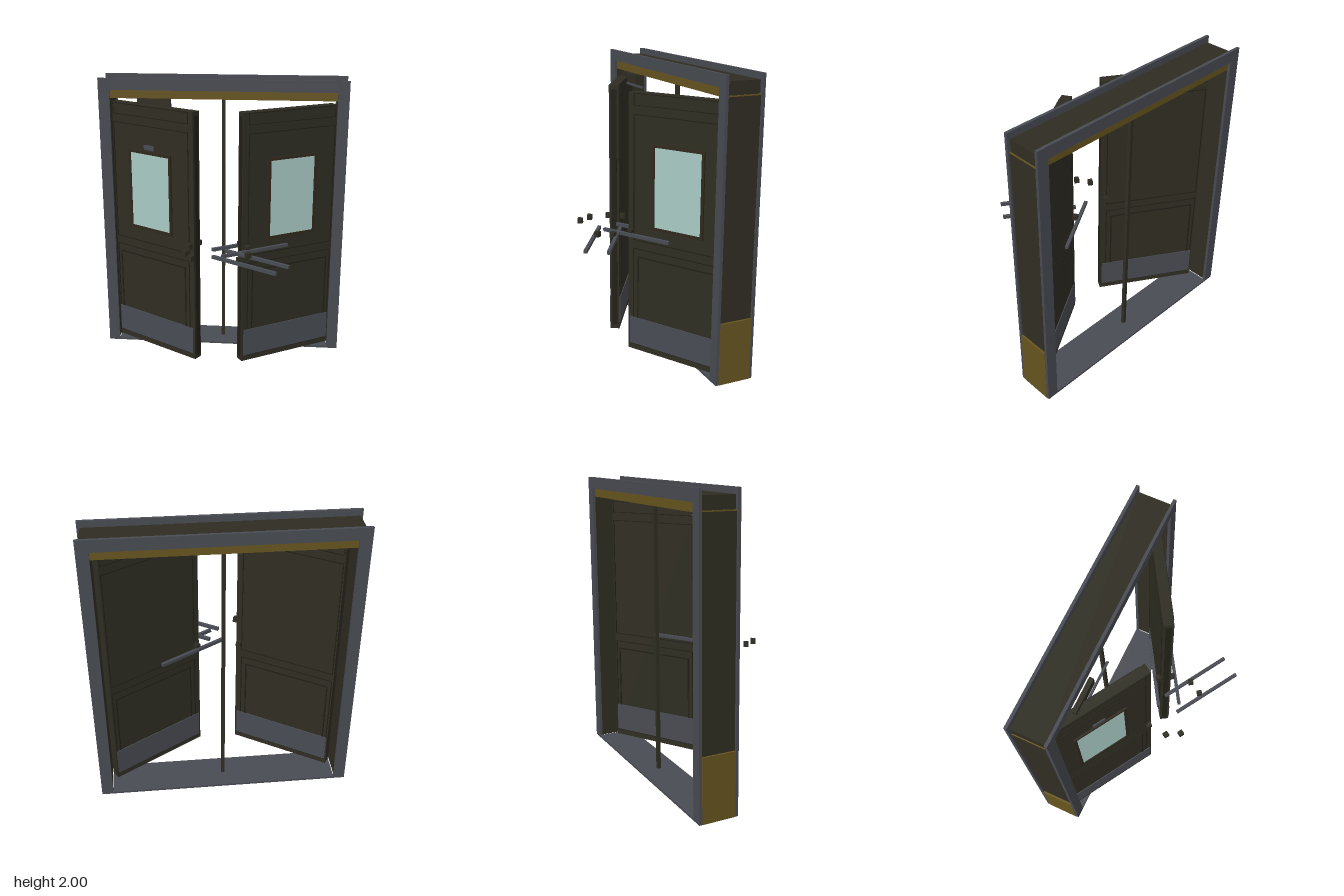
import * as THREE from 'three';

const mat = (name, color) => {
  const m = new THREE.MeshStandardMaterial({ color });
  m.name = name;
  return m;
};

export function createModel() {
  const dark = mat('darkBronze', 0x2f2d22);
  const moulding = mat('mouldingShadow', 0x211f17);
  const steel = mat('blueGreySteel', 0x484b52);
  const gold = mat('agedBrass', 0x66541f);
  const glass = mat('paleGlass', 0xa9cac4);
  const wood = mat('windowTrim', 0x30281c);

  const model = new THREE.Group();
  model.name = 'doubleDoor';

  // Box given by its limits on each axis
  const box = (parent, name, m, x0, x1, y0, y1, z0, z1) => {
    const mesh = new THREE.Mesh(
      new THREE.BoxGeometry(Math.abs(x1 - x0), y1 - y0, Math.abs(z1 - z0)), m);
    mesh.position.set((x0 + x1) / 2, (y0 + y1) / 2, (z0 + z1) / 2);
    mesh.name = name;
    parent.add(mesh);
    return mesh;
  };

  // Flat rectangular ring, extruded along z
  const ring = (parent, name, m, x0, x1, y0, y1, w, z0, depth) => {
    const rect = (P, a, b, c, d) => {
      const p = new P();
      p.moveTo(a, c); p.lineTo(b, c); p.lineTo(b, d); p.lineTo(a, d); p.closePath();
      return p;
    };
    const [a, b] = [Math.min(x0, x1), Math.max(x0, x1)];
    const shape = rect(THREE.Shape, a, b, y0, y1);
    shape.holes.push(rect(THREE.Path, a + w, b - w, y0 + w, y1 - w));
    const mesh = new THREE.Mesh(
      new THREE.ExtrudeGeometry(shape, { depth, bevelEnabled: false }), m);
    mesh.position.z = z0;
    mesh.name = name;
    parent.add(mesh);
  };

  // Casing: front and back trim around jambs and header
  const frame = new THREE.Group();
  frame.name = 'frame';
  model.add(frame);
  for (const [z0, z1] of [[-0.25, -0.23], [-0.5, -0.48]]) {
    for (const s of [-1, 1]) box(frame, 'sideTrim', steel, s * 0.79, s * 0.868, 0, 2, z0, z1);
    box(frame, 'topTrim', steel, -0.79, 0.79, 1.92, 2, z0, z1);
  }
  for (const s of [-1, 1]) {
    box(frame, 'jamb', dark, s * 0.795, s * 0.855, 0.015, 1.87, -0.48, -0.25);
    box(frame, 'jambBasePlate', gold, s * 0.855, s * 0.87, 0, 0.43, -0.48, -0.25);
    box(frame, 'headerEndLine', gold, s * 0.845, s * 0.856, 1.868, 1.876, -0.478, -0.252);
  }
  box(frame, 'header', dark, -0.85, 0.85, 1.875, 1.96, -0.475, -0.255);
  box(frame, 'lintel', gold, -0.795, 0.795, 1.86, 1.925, -0.479, -0.251);
  box(frame, 'sill', steel, -0.79, 0.79, 0, 0.015, -0.5, -0.23);

  // Centre post
  box(model, 'centrePost', dark, -0.012, 0.012, 0.015, 1.86, -0.377, -0.353);

  // Door leaf; u runs from the free edge to the hinge, side s is -1 or +1
  const ANGLE = 0.549, T = 0.067, W = 0.73;
  const makeDoor = (s) => {
    const d = new THREE.Group();
    d.name = s > 0 ? 'leftDoor' : 'rightDoor';
    d.position.set(s * 0.168, 0, 0.075);
    d.rotation.y = s * ANGLE;
    model.add(d);
    box(d, 'leaf', dark, 0, s * W, 0.02, 1.83, -T, 0);
    box(d, 'edgeStrip', moulding, s * -0.003, 0, 0.05, 1.8, -T + 0.014, -0.014);
    // Mouldings and kick plate on both faces
    for (const z of [0, -T - 0.004]) {
      ring(d, 'topRail', moulding, s * 0.04, s * 0.722, 1.745, 1.826, 0.005, z, 0.004);
      ring(d, 'upperMoulding', moulding, s * 0.04, s * 0.722, 0.83, 1.69, 0.006, z, 0.004);
      ring(d, 'lowerMoulding', moulding, s * 0.04, s * 0.722, 0.06, 0.775, 0.006, z, 0.004);
      ring(d, 'lowerPanel', moulding, s * 0.075, s * 0.695, 0.1, 0.72, 0.009, z, 0.004);
      box(d, 'kickPlate', steel, s * 0.014, s * 0.722, 0.065, 0.265, z - 0.002, z + 0.006);
    }
    // Window on the front face
    ring(d, 'windowFrame', wood, s * 0.19, s * 0.577, 0.93, 1.51, 0.02, 0, 0.012);
    box(d, 'windowGlass', glass, s * 0.21, s * 0.557, 0.95, 1.49, 0, 0.006);
    return d;
  };
  makeDoor(1);
  const rightDoor = makeDoor(-1);
  box(rightDoor, 'numberPlate', steel, -0.343, -0.432, 1.52, 1.555, 0, 0.008);

  // Door closer and arm
  box(model, 'closerBody', dark, -0.59, -0.355, 1.79, 1.865, -0.235, -0.205);
  box(model, 'closerArm', steel, -0.48, -0.2, 1.785, 1.797, -0.202, -0.188);

  // Push bars: start and end in x, z
  const bars = [
    [-0.04, 0.075, 0.4, -0.195], [0.035, 0.2, 0.475, -0.075],
    [0.05, 0.085, 0.49, 0.355], [-0.025, 0.21, 0.41, 0.48],
  ];
  for (const [x0, z0, x1, z1] of bars) {
    const len = Math.hypot(x1 - x0, z1 - z0);
    const bar = box(model, 'pushBar', steel, -len / 2, len / 2, 0.864, 0.886, -0.011, 0.011);
    bar.position.set((x0 + x1) / 2, 0.875, (z0 + z1) / 2);
    bar.rotation.y = -Math.atan2(z1 - z0, x1 - x0);
  }

  // Bar brackets, mirrored
  for (const s of [-1, 1]) {
    for (const [x, z] of [[0.148, -0.015], [0.202, 0.073], [0.215, 0.21], [0.163, 0.3]]) {
      const b = box(model, 'bracket', dark, -0.017, 0.017, 0.875, 0.911, -0.017, 0.017);
      b.position.x = s * x;
      b.position.z = z;
      b.rotation.y = s * ANGLE;
    }
  }
  return model;
}
